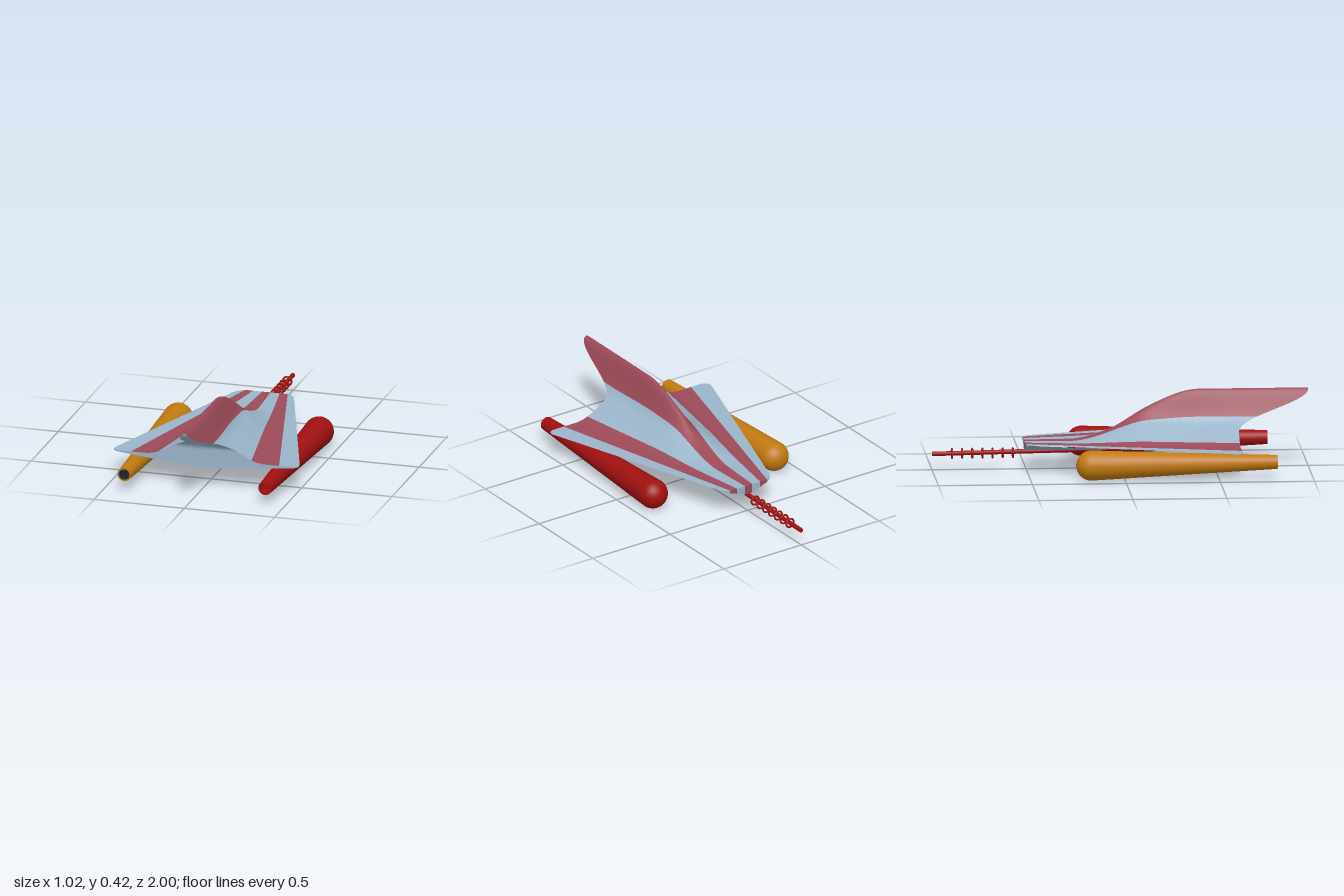
import * as THREE from 'three';

const mat = (color) => new THREE.MeshStandardMaterial({ color });
const BLUE = mat(0x9ab4c9), STRIPE = mat(0x9c4a58), RED = mat(0xa01010);
const ORANGE = mat(0xc07a10), DARK = mat(0x1a2530);
const smooth = THREE.MathUtils.smoothstep;
const { lerp, clamp } = THREE.MathUtils;

// Hull rules: u runs -1..1 across the span, z along the length
const halfWidth = (z) => 0.51 + 0.332 * (Math.min(z, 0.62) - 0.57);
const corner = (u, from) => {
  const k = Math.max(0, (Math.abs(u) - from) / (1 - from));
  return 0.05 * (1 - Math.sqrt(Math.max(0, 1 - k * k)));
};
const noseZ = (u) => -0.51 + corner(u, 0.7);
const rearZ = (u, y) => 0.62 - corner(u, 0.9) + 0.38 * smooth(y, 0.21, 0.415);
const topY = (u, z) => {
  const a = Math.abs(u);
  const shoulder = 0.1 * (1 - smooth(a, 0.1, 0.62)) * smooth(z, -0.27, 0.15);
  const fin = 0.167 * Math.exp(-((u / 0.115) ** 2)) * smooth(z, -0.1, 0.42);
  return 0.153 + shoulder + fin;
};
const bottomY = (u) => 0.103 + 0.047 * clamp((Math.abs(u) - 0.12) / 0.88, 0, 1);

// Samples across the span, with the stripe borders on the grid
const half = [];
const breaks = [0, 0.15, 0.49, 0.78, 0.9, 1], steps = [10, 12, 5, 4, 10];
steps.forEach((n, b) => {
  for (let i = 0; i < n; i++) half.push(lerp(breaks[b], breaks[b + 1], i / n));
});
half.push(1);
const span = [...half.slice(1).reverse().map((u) => -u), ...half];
const isStripe = (u) => Math.abs(u) < 0.15 || (Math.abs(u) > 0.49 && Math.abs(u) < 0.78);

// Sheet over (u, t); striped sheets share one set of normals between two meshes
function sheet(group, name, rows, point, striped, flip) {
  const pos = [], plain = [], stripes = [], n = span.length;
  for (let j = 0; j <= rows; j++) {
    for (const u of span) pos.push(...point(u, j / rows));
  }
  for (let j = 0; j < rows; j++) {
    for (let i = 0; i < n - 1; i++) {
      const a = j * n + i, b = a + 1, c = a + n, d = c + 1;
      const out = striped && isStripe((span[i] + span[i + 1]) / 2) ? stripes : plain;
      if (flip) out.push(a, b, c, b, d, c);
      else out.push(a, c, b, b, c, d);
    }
  }
  const geo = new THREE.BufferGeometry();
  geo.setAttribute('position', new THREE.Float32BufferAttribute(pos, 3));
  geo.setIndex([...plain, ...stripes]);
  geo.computeVertexNormals();
  const add = (label, index, material) => {
    const g = geo.clone();
    g.setIndex(index);
    const mesh = new THREE.Mesh(g, material);
    mesh.name = label;
    group.add(mesh);
  };
  add(name, plain, BLUE);
  if (striped) add(name + 'Stripes', stripes, STRIPE);
}

function makeHull() {
  const hull = new THREE.Group();
  hull.name = 'hull';
  // Upper skin with the swept fin
  sheet(hull, 'upperSkin', 64, (u, t) => {
    const z = lerp(noseZ(u), rearZ(u, topY(u, 0.62)), t);
    return [u * halfWidth(z), topY(u, z), z];
  }, true, false);
  // Flat underside
  sheet(hull, 'underside', 8, (u, t) => {
    const z = lerp(noseZ(u), rearZ(u, 0), t);
    return [u * halfWidth(z), bottomY(u), z];
  }, false, true);
  // Blunt end, striped like the skin
  sheet(hull, 'bluntEnd', 1, (u, t) => {
    const z = noseZ(u);
    return [u * halfWidth(z), lerp(bottomY(u), topY(u, z), t), z];
  }, true, false);
  // Face under the fin overhang
  sheet(hull, 'overhangFace', 24, (u, t) => {
    const y = lerp(topY(u, 0.62), bottomY(u), t), z = rearZ(u, y);
    return [u * halfWidth(z), y, z];
  }, false, false);
  return hull;
}

// Tapered pod: round end, long cone, recessed open end
function makePod(name, x, material, inner) {
  const pod = new THREE.Group();
  pod.name = name;
  const profile = [];
  for (let i = 0; i <= 12; i++) {
    const a = (i / 12) * Math.PI / 2;
    profile.push(new THREE.Vector2(0.08 * Math.sin(a), -0.08 * Math.cos(a)));
  }
  profile.push(new THREE.Vector2(0.037, 0.99));
  const lathe = (label, pts, m) => {
    const mesh = new THREE.Mesh(new THREE.LatheGeometry(pts, 40), m);
    mesh.name = label;
    pod.add(mesh);
  };
  const v = (r, y) => new THREE.Vector2(r, y);
  lathe('shell', profile, material);
  lathe('rim', [v(0.037, 0.99), v(0.029, 0.99)], material);
  lathe('boreWall', [v(0.029, 0.99), v(0.029, 0.94)], inner);
  lathe('boreFloor', [v(0.029, 0.94), v(0, 0.94)], inner);
  pod.position.set(x, 0.08, -0.18);
  pod.rotation.x = Math.PI / 2 - 0.008;
  return pod;
}

// Thin rod under the hull, carrying a row of rings
function makeProbe() {
  const probe = new THREE.Group();
  probe.name = 'probe';
  const length = 1.35;
  const rod = new THREE.Mesh(new THREE.CylinderGeometry(0.012, 0.012, length, 20), RED);
  rod.name = 'rod';
  rod.rotation.x = Math.PI / 2 - 0.017;
  rod.position.set(0, 0.097, -1 + length / 2);
  probe.add(rod);
  const ringGeo = new THREE.TorusGeometry(0.024, 0.005, 10, 28);
  for (let i = 0; i < 7; i++) {
    const ring = new THREE.Mesh(ringGeo, RED);
    ring.name = 'ring' + (i + 1);
    ring.position.set(0, 0.087, -0.57 - i * 0.054);
    probe.add(ring);
  }
  return probe;
}

export function createModel() {
  const model = new THREE.Group();
  model.name = 'spacecraft';
  model.add(
    makeHull(),
    makePod('leftPod', 0.39, RED, RED),
    makePod('rightPod', -0.39, ORANGE, DARK),
    makeProbe(),
  );
  return model;
}
